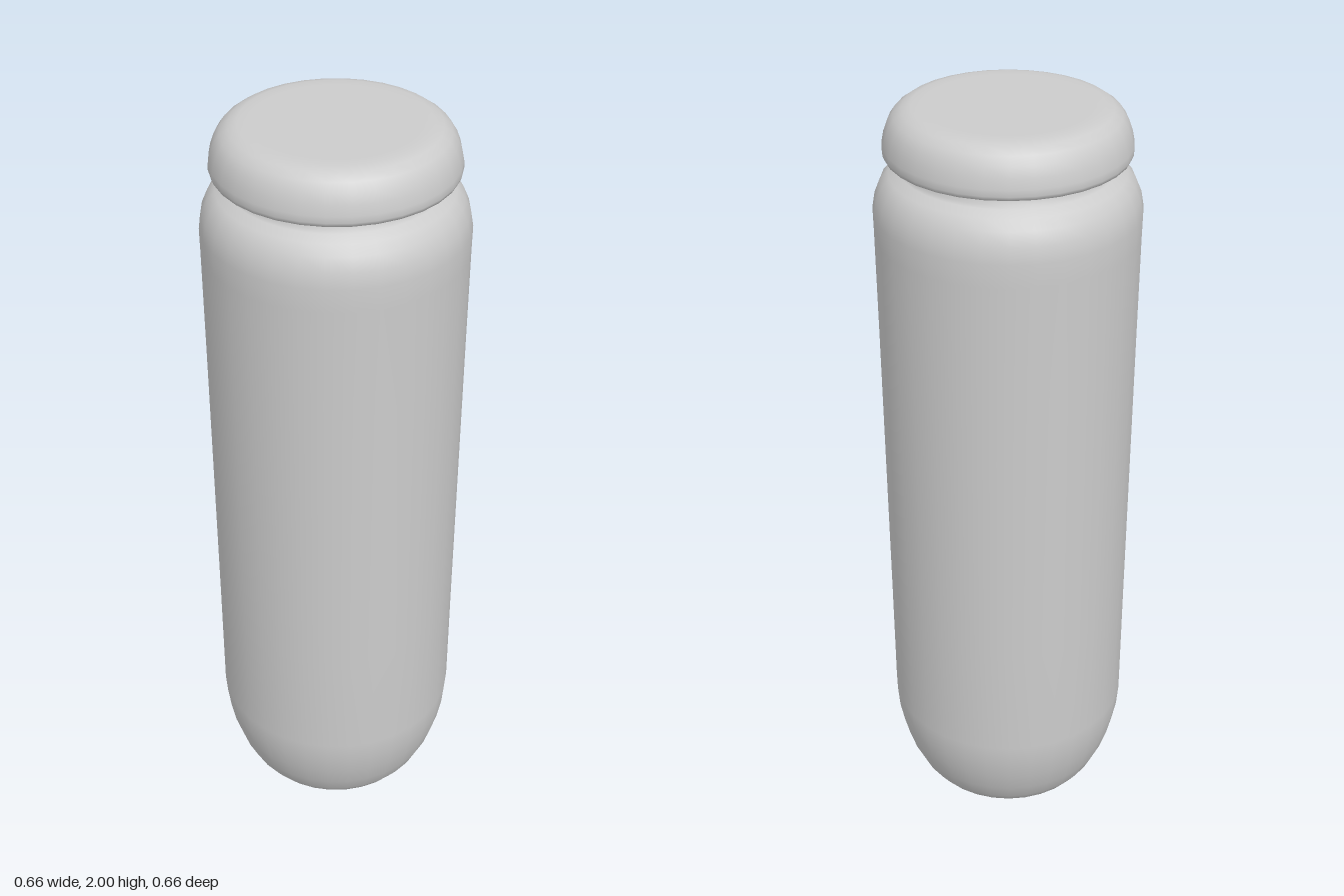
import * as THREE from 'three';

const SIDES = 32;

// Revolved part from [radius, height] pairs, listed bottom to top
function turned(name, profile) {
  const points = profile.map(([r, y]) => new THREE.Vector2(r, y));
  const mesh = new THREE.Mesh(
    new THREE.LatheGeometry(points, SIDES),
    new THREE.MeshStandardMaterial({ color: 0xcccccc })
  );
  mesh.name = name;
  return mesh;
}

export function createModel() {
  const group = new THREE.Group();
  group.name = 'bottle';

  // Tall body: flat base, rounded foot, straight wall, shoulder and neck
  group.add(turned('body', [
    [0, 0], [0.2, 0], [0.218, 0.003], [0.238, 0.017], [0.262, 0.05],
    [0.285, 0.1], [0.304, 0.16], [0.316, 0.22], [0.321, 0.28],
    [0.322, 0.6], [0.324, 1.0], [0.326, 1.4], [0.328, 1.68],
    [0.329, 1.74], [0.322, 1.78], [0.308, 1.813], [0.288, 1.836],
    [0.263, 1.848], [0.257, 1.856], [0.253, 1.87], [0.25, 1.885], [0.25, 1.92],
  ]));

  // Lid: flat underside overhanging the neck, rounded top edge
  group.add(turned('lid', [
    [0, 1.88], [0.24, 1.88], [0.285, 1.88], [0.297, 1.884], [0.301, 1.894],
    [0.3, 1.91], [0.295, 1.935], [0.286, 1.96], [0.272, 1.98],
    [0.252, 1.994], [0.23, 2], [0.2, 2], [0, 2],
  ]));

  return group;
}
